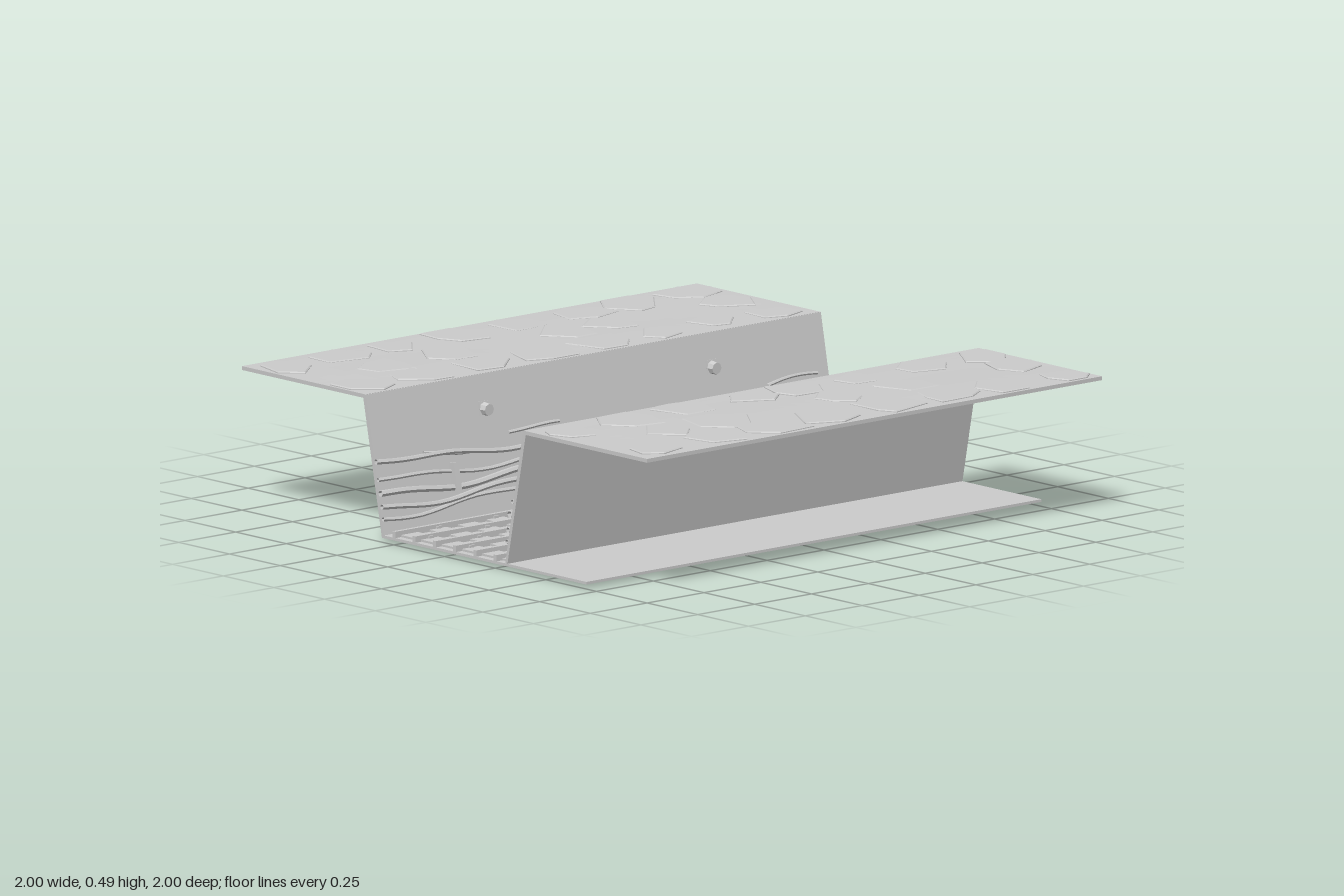
import * as THREE from 'three';

const grey = new THREE.MeshStandardMaterial({ color: 0xcccccc, flatShading: true, side: THREE.DoubleSide });

function seeded(seed) {
  return () => {
    seed = (seed * 16807) % 2147483647;
    return seed / 2147483647;
  };
}

function add(parent, geometry, name) {
  const mesh = new THREE.Mesh(geometry, grey);
  mesh.name = name;
  parent.add(mesh);
  return mesh;
}

// Thin slab whose edges stay straight while the top ripples and the underside sags in lumps
function slab(x0, x1, yTop, thick, rise, sag, phase) {
  const w = x1 - x0;
  const geo = new THREE.BoxGeometry(w, thick, 2, 14, 1, 32);
  geo.translate((x0 + x1) / 2, yTop - thick / 2, 0);
  const p = geo.attributes.position;
  for (let i = 0; i < p.count; i++) {
    const x = p.getX(i), y = p.getY(i), z = p.getZ(i);
    const u = (x - x0) / w;
    const edge = Math.min(1, 5 * u * (1 - u)) * Math.min(1, 6 * (1 - Math.abs(z)));
    const lump = 0.5 + 0.25 * Math.sin(u * 9 + phase + z * 2) + 0.25 * Math.cos(z * 7 + phase);
    p.setY(i, y > yTop - thick / 2 ? y + rise * edge * lump : y - sag * edge * lump);
  }
  geo.computeVertexNormals();
  return geo;
}

// Inner wall surface: x at height y on the given side
const wallX = (side, y) => side * (0.3 + 0.09 * (y - 0.02) / 0.455);

function wall(side) {
  const s = new THREE.Shape();
  s.moveTo(side * 0.298, 0.015);
  s.lineTo(side * 0.388, 0.482);
  s.lineTo(side * 0.404, 0.482);
  s.lineTo(side * 0.400, 0.465);
  s.lineTo(side * 0.309, 0.015);
  return new THREE.ExtrudeGeometry(s, { depth: 2, bevelEnabled: false }).translate(0, 0, -1);
}

// Low, irregular flagstone lying on the ground slab
function flagstone(cx, cz, radius, rand, xMin, xMax) {
  const n = 5 + Math.floor(rand() * 2), turn = rand() * 6;
  const pts = [];
  for (let i = 0; i < n; i++) {
    const a = turn + (i + rand() * 0.5) / n * Math.PI * 2, r = radius * (0.75 + rand() * 0.4);
    pts.push(new THREE.Vector2(
      THREE.MathUtils.clamp(cx + Math.cos(a) * r, xMin, xMax),
      THREE.MathUtils.clamp(-cz + Math.sin(a) * r, -0.99, 0.99)));
  }
  return new THREE.ExtrudeGeometry(new THREE.Shape(pts), {
    depth: 0.006, bevelEnabled: true, bevelThickness: 0.003, bevelSize: 0.004, bevelOffset: -0.004, bevelSegments: 1
  }).rotateX(-Math.PI / 2);
}

// Cable hugging the wall, with sag between its fixings
function cable(side, y, radius, z0, z1, phase, sag) {
  const pts = [];
  const steps = Math.max(6, Math.round((z1 - z0) * 12));
  for (let i = 0; i <= steps; i++) {
    const z = z0 + (z1 - z0) * i / steps;
    const h = y + sag * Math.sin(z * 5 + phase) + sag * 0.4 * Math.sin(z * 13 + phase * 2);
    pts.push(new THREE.Vector3(wallX(side, h) - side * (radius + 0.003 * Math.sin(z * 9)), h, z));
  }
  return new THREE.TubeGeometry(new THREE.CatmullRomCurve3(pts), steps * 2, radius, 6, false);
}

export function createModel() {
  const model = new THREE.Group();
  model.name = 'trench';
  const rand = seeded(417);

  add(model, slab(-0.3, 0.7, 0.024, 0.009, 0.001, 0.015, 1), 'floor');

  for (const side of [-1, 1]) {
    const label = side > 0 ? 'left' : 'right';
    const x0 = side > 0 ? 0.39 : -1, x1 = side > 0 ? 1 : -0.39;
    add(model, slab(x0, x1, 0.483, 0.013, 0.004, 0.034, side + 2), label + 'Ground');
    add(model, wall(side), label + 'Wall');

    // Flagstones scattered over the ground, mostly along its borders
    const stones = new THREE.Group();
    stones.name = label + 'Flagstones';
    for (let row = 0; row < 8; row++) {
      for (const x of [0.49, 0.69, 0.9]) {
        if (x === 0.69 && row % 3 === 1) continue;
        const geo = flagstone(side * (x + (rand() - 0.5) * 0.05), -0.9 + row * 0.257 + (rand() - 0.5) * 0.08,
          0.09 + rand() * 0.035, rand, x0 + 0.012, x1 - 0.012);
        add(stones, geo, 'flagstone').position.y = 0.48;
      }
    }
    model.add(stones);

    // Cables, ties and lamps on the wall
    const fittings = new THREE.Group();
    fittings.name = label + 'WallFittings';
    const heights = side < 0 ? [0.09, 0.12, 0.16, 0.2, 0.25] : [0.11, 0.14, 0.19, 0.23];
    heights.forEach((y, i) =>
      add(fittings, cable(side, y, 0.007 + (i % 3) * 0.002, -1, 1, i * 0.7, 0.016), 'cable'));
    for (let i = 0; i < 5; i++) {
      const z = -0.85 + i * 0.38;
      add(fittings, cable(side, 0.27, 0.006, z - 0.1, z + 0.12, i * 2, 0.02), 'looseCable');
      const y = 0.13 + (i % 3) * 0.04;
      const tie = add(fittings, new THREE.BoxGeometry(0.028, 0.1, 0.022), 'cableTie');
      tie.position.set(wallX(side, y) - side * 0.012, y, z);
      tie.rotation.z = -side * 0.195;
    }
    for (const z of [-0.5, side < 0 ? 0.5 : 0.55]) {
      const lamp = add(fittings, new THREE.CylinderGeometry(0.02, 0.024, 0.035, 8), 'lamp');
      lamp.rotation.z = side * Math.PI / 2;
      lamp.position.set(wallX(side, 0.37) - side * 0.012, 0.37, z);
      const bracket = add(fittings, new THREE.BoxGeometry(0.012, 0.05, 0.045), 'lampBracket');
      bracket.position.set(wallX(side, 0.37) - side * 0.002, 0.37, z);
      bracket.rotation.z = -side * 0.195;
    }
    model.add(fittings);
  }

  // Duckboard: low cross planks with lengthwise rails
  const boards = new THREE.Group();
  boards.name = 'duckboard';
  for (let i = 0; i < 16; i++) {
    add(boards, new THREE.BoxGeometry(0.56, 0.008, 0.075), 'crossPlank').position.set(0, 0.027, -0.9375 + i * 0.125);
  }
  for (let i = 0; i < 6; i++) {
    const x = -0.25 + i * 0.1;
    add(boards, new THREE.BoxGeometry(0.014, 0.022, 2), 'rail').position.set(x, 0.034, 0);
    for (let k = 0; k < 8; k++) {
      add(boards, new THREE.BoxGeometry(0.026, 0.014, 0.02), 'railClip')
        .position.set(x, 0.032, -0.94 + k * 0.25 + (i % 2) * 0.125);
    }
  }
  model.add(boards);
  return model;
}
